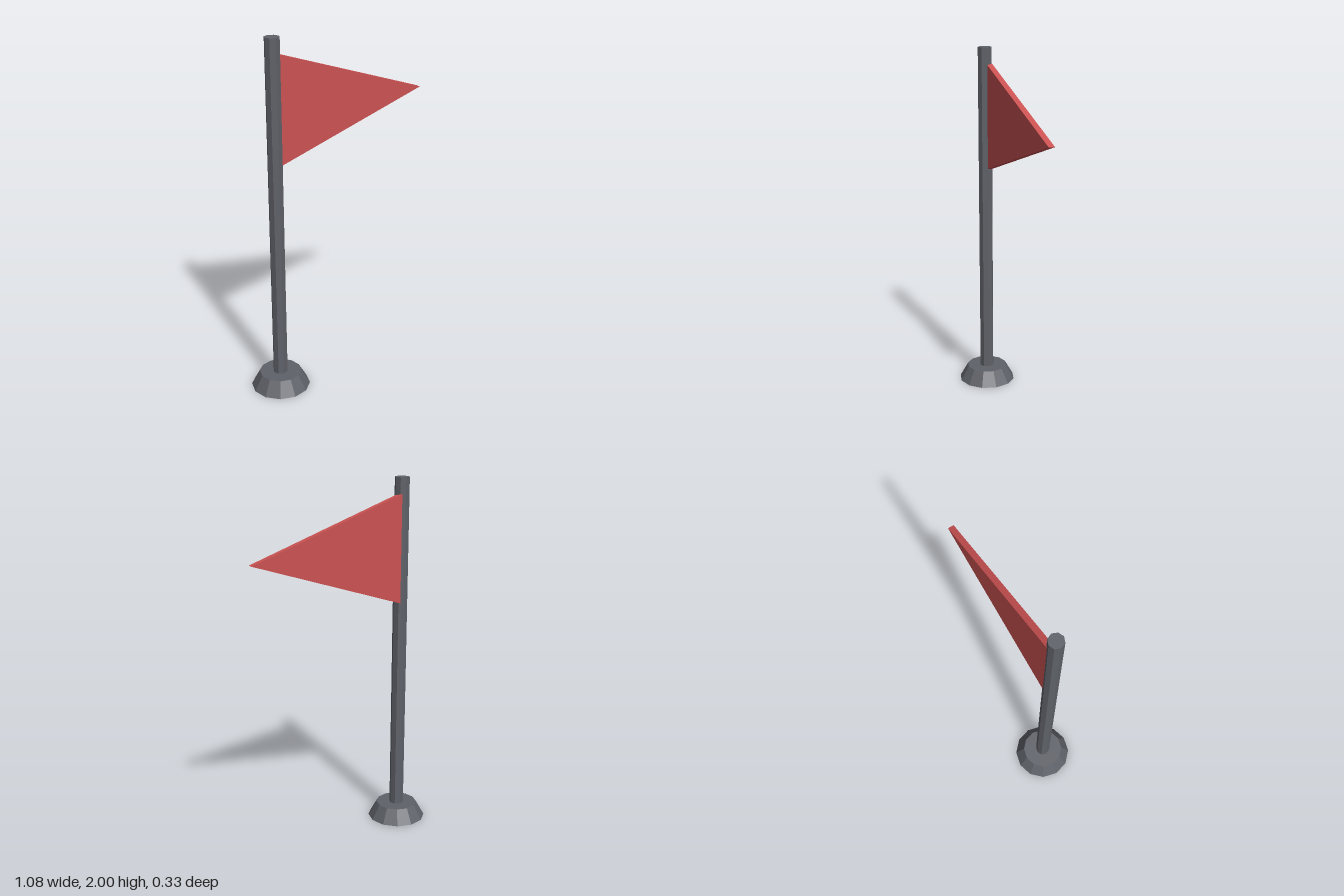
import * as THREE from 'three';

export function createModel() {
  const model = new THREE.Group();
  const grey = new THREE.MeshStandardMaterial({ color: 0x5f6269, flatShading: true });
  const red = new THREE.MeshStandardMaterial({ color: 0xcc5252, flatShading: true });
  const poleX = -0.375;

  const add = (name, geometry, material, x, y, z) => {
    const mesh = new THREE.Mesh(geometry, material);
    mesh.name = name;
    mesh.position.set(x, y, z);
    model.add(mesh);
  };

  // Tapered twelve-sided foot
  const baseHeight = 0.085;
  add('base', new THREE.CylinderGeometry(0.117, 0.165, baseHeight, 12), grey, poleX, baseHeight / 2, 0);

  // Octagonal pole standing on the foot
  const poleHeight = 2 - baseHeight;
  add('pole', new THREE.CylinderGeometry(0.041, 0.041, poleHeight, 8), grey, poleX, baseHeight + poleHeight / 2, 0);

  // Triangular pennant, its inner edge sunk into the pole
  const pennant = new THREE.Shape([
    new THREE.Vector2(0.012, -0.304),
    new THREE.Vector2(0.915, 0),
    new THREE.Vector2(0.012, 0.304),
  ]);
  const pennantGeometry = new THREE.ExtrudeGeometry(pennant, { depth: 0.033, bevelEnabled: false });
  add('flag', pennantGeometry, red, poleX, 1.61, -0.033);

  return model;
}
